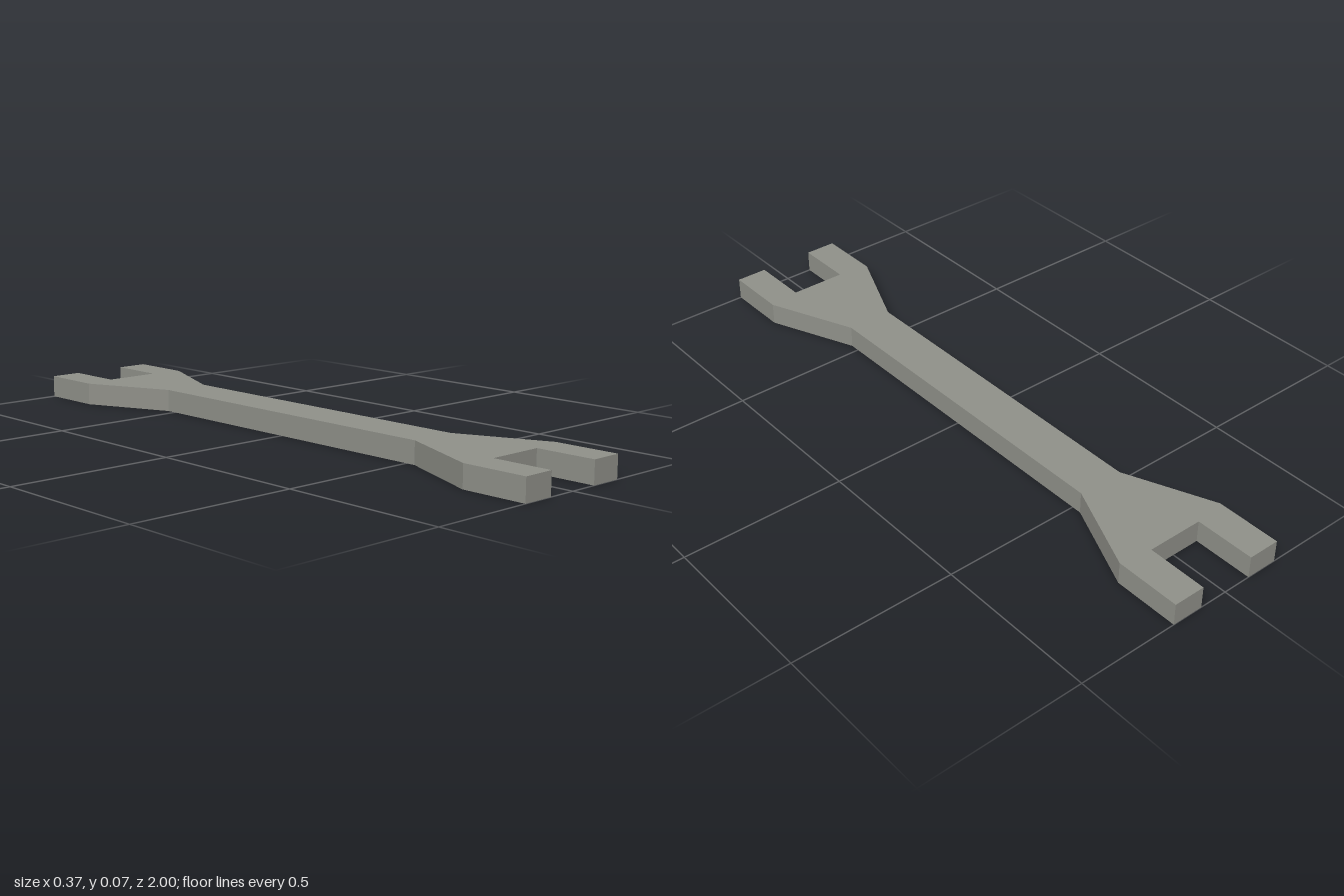
import * as THREE from 'three';

const THICKNESS = 0.068;

export function createModel() {
  const group = new THREE.Group();
  group.name = 'wrench';
  const steel = new THREE.MeshStandardMaterial({ color: 0x90918a });
  steel.name = 'grey steel';

  // One quarter of the outline: handle edge, flared shoulder, jaw prong, slot
  const quarter = [
    [0.072, 0.53], [0.187, 0.8], [0.187, 1], [0.088, 1], [0.088, 0.815],
  ];
  const mirror = (sx, sy) => quarter.map(([x, y]) => new THREE.Vector2(x * sx, y * sy));

  // Mirror the quarter into a closed counter-clockwise outline
  const outline = new THREE.Shape([
    ...mirror(1, 1),
    ...mirror(-1, 1).reverse(),
    ...mirror(-1, -1),
    ...mirror(1, -1).reverse(),
  ]);

  // Flat plate with both open jaws, laid on the ground
  const geometry = new THREE.ExtrudeGeometry(outline, { depth: THICKNESS, bevelEnabled: false });
  geometry.rotateX(-Math.PI / 2);
  const body = new THREE.Mesh(geometry, steel);
  body.name = 'doubleOpenEndBody';
  group.add(body);
  return group;
}
